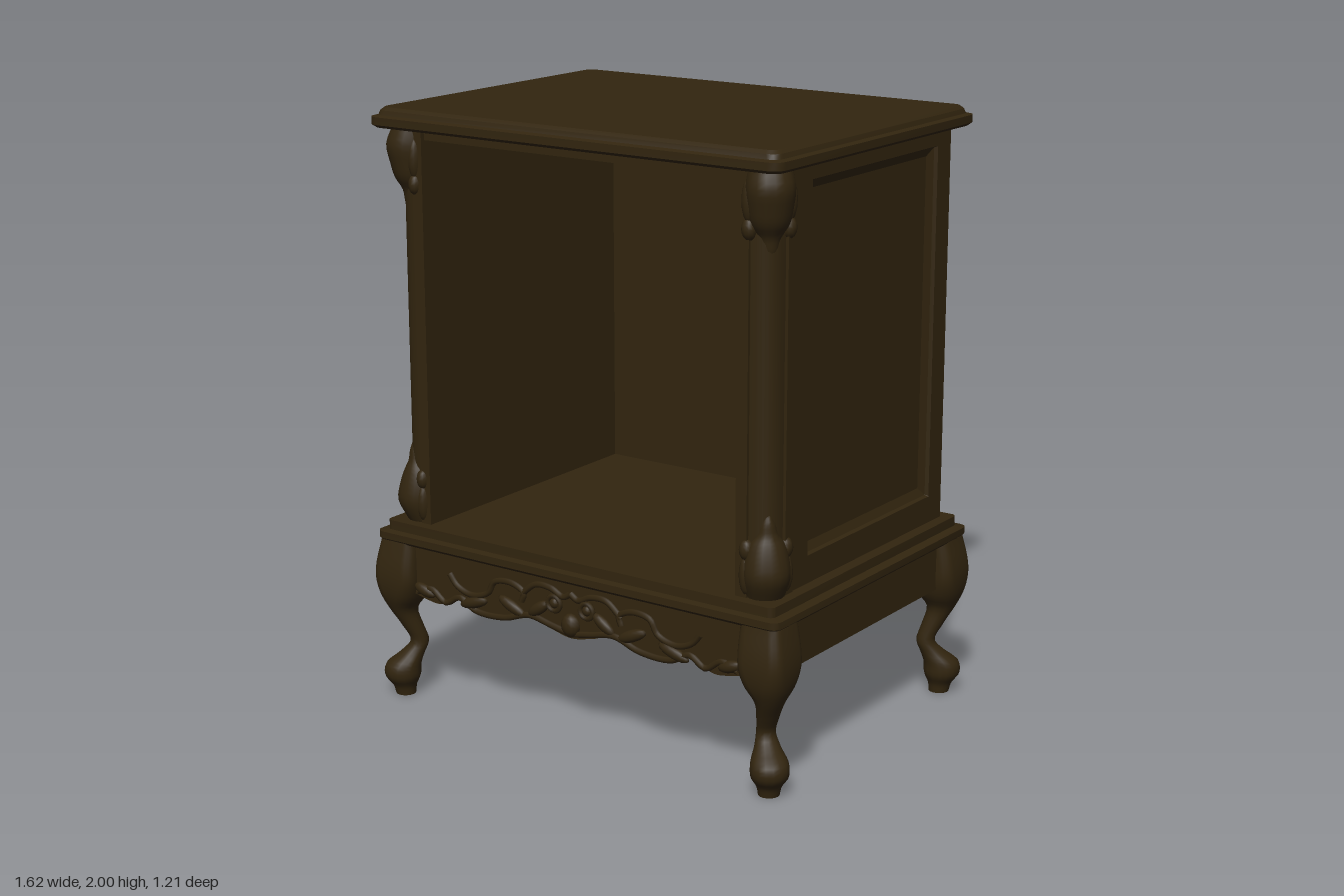
import * as THREE from 'three';
import { toCreasedNormals } from 'three/addons/utils/BufferGeometryUtils.js';

const wood = new THREE.MeshStandardMaterial({ color: 0x32250f });
wood.name = 'dark walnut';

// Horizontal rounded-rectangle ring; r = half size gives a circle
function ring(hx, hz, r, y, cx = 0, cz = 0, n = 5) {
  const pts = [];
  const corners = [[1, 1], [-1, 1], [-1, -1], [1, -1]];
  corners.forEach(([sx, sz], q) => {
    for (let i = 0; i <= n; i++) {
      const a = (q + i / n) * Math.PI / 2;
      pts.push([cx + sx * (hx - r) + r * Math.cos(a), y, cz + sz * (hz - r) + r * Math.sin(a)]);
    }
  });
  return pts;
}

// Skin a stack of rings, with optional caps
function loft(rings, crease = 0.6, bottom = true) {
  const n = rings[0].length, pos = rings.flat(2), idx = [];
  for (let j = 0; j < rings.length - 1; j++) {
    for (let i = 0; i < n; i++) {
      const a = j * n + i, b = j * n + (i + 1) % n;
      idx.push(a, a + n, b, b, a + n, b + n);
    }
  }
  const top = (rings.length - 1) * n;
  for (let i = 1; i < n - 1; i++) {
    idx.push(top, top + i + 1, top + i);
    if (bottom) idx.push(0, i, i + 1);
  }
  const g = new THREE.BufferGeometry();
  g.setAttribute('position', new THREE.Float32BufferAttribute(pos, 3));
  g.setIndex(idx);
  return toCreasedNormals(g, crease);
}

// Reflected copy with its winding corrected
function mirrored(geo, sx, sz) {
  const g = geo.index ? geo.toNonIndexed() : geo.clone();
  g.scale(sx, 1, sz);
  if (sx * sz < 0) {
    for (const name of ['position', 'normal']) {
      const a = g.attributes[name];
      for (let i = 0; i < a.count; i += 3) {
        const p = [a.getX(i + 1), a.getY(i + 1), a.getZ(i + 1)];
        a.setXYZ(i + 1, a.getX(i + 2), a.getY(i + 2), a.getZ(i + 2));
        a.setXYZ(i + 2, ...p);
      }
    }
  }
  return g;
}

// Rings along a smooth curve of [centre x, radius, y, squareness]; z follows x diagonally
function turned(points, samples, squareTop = 0) {
  const curve = new THREE.CatmullRomCurve3(points.map(p => new THREE.Vector3(...p)));
  const rings = [];
  for (let i = 0; i <= samples; i++) {
    const p = curve.getPoint(i / samples);
    const round = 1 - squareTop * THREE.MathUtils.smoothstep(p.z, 0.25, 0.45);
    rings.push(ring(p.y, p.y, p.y * round, p.z, p.x, p.x - 0.205, 4));
  }
  return loft(rings, 0.9);
}

export function createModel() {
  const model = new THREE.Group();
  const add = (name, geo) => {
    const m = new THREE.Mesh(geo, wood);
    m.name = name;
    model.add(m);
    return m;
  };
  // Box given by its limits
  const box = (name, x0, x1, y0, y1, z0, z1) => add(name,
    new THREE.BoxGeometry(x1 - x0, y1 - y0, z1 - z0)
      .translate((x0 + x1) / 2, (y0 + y1) / 2, (z0 + z1) / 2));

  // Moulded top and stepped base
  add('top', loft([
    ring(0.77, 0.575, 0.035, 1.935), ring(0.782, 0.588, 0.04, 1.945), ring(0.782, 0.588, 0.04, 1.97),
    ring(0.765, 0.57, 0.035, 1.975), ring(0.76, 0.565, 0.035, 1.99), ring(0.748, 0.553, 0.03, 2.0),
  ], 0.5));
  add('baseMoulding', loft([
    ring(0.785, 0.58, 0.03, 0.55), ring(0.795, 0.59, 0.03, 0.56), ring(0.795, 0.59, 0.03, 0.583),
    ring(0.765, 0.567, 0.02, 0.588), ring(0.765, 0.567, 0.02, 0.62),
  ], 0.5));

  // Cabinet shell
  box('backPanel', -0.67, 0.67, 0.62, 1.94, -0.512, -0.495);
  box('header', -0.605, 0.605, 1.9, 1.94, 0.49, 0.515);

  // Side frame with a bevelled sunken panel, modelled flat and turned upright
  const sideFrame = loft([
    ring(0.66, 0.45, 0.001, 0.725, -1.28, -0.05, 1),
    ring(0.585, 0.375, 0.001, 0.725, -1.295, -0.065, 1),
    ring(0.58, 0.37, 0.001, 0.713, -1.295, -0.065, 1),
    ring(0.553, 0.343, 0.001, 0.70, -1.295, -0.065, 1),
  ], 0.2, false).rotateZ(-Math.PI / 2);

  // Front corner post with a rounded outer corner between small fillets
  const postShape = new THREE.Shape();
  postShape.moveTo(0.605, 0.4);
  postShape.lineTo(0.73, 0.4);
  postShape.lineTo(0.73, 0.445);
  postShape.lineTo(0.72, 0.445);
  postShape.quadraticCurveTo(0.72, 0.52, 0.645, 0.52);
  postShape.lineTo(0.645, 0.53);
  postShape.lineTo(0.605, 0.53);
  const post = toCreasedNormals(new THREE.ExtrudeGeometry(postShape,
    { depth: 1.32, bevelEnabled: false, curveSegments: 8 }).rotateX(Math.PI / 2).translate(0, 1.94, 0), 0.6);

  // Carved leaf brackets at the head and foot of each post
  const headLeaf = turned([
    [0.688, 0.012, 1.655], [0.686, 0.026, 1.69], [0.684, 0.036, 1.73], [0.684, 0.06, 1.77],
    [0.687, 0.07, 1.82], [0.691, 0.075, 1.88], [0.682, 0.065, 1.94],
  ], 18);
  const footLeaf = turned([
    [0.676, 0.06, 0.62], [0.688, 0.074, 0.685], [0.686, 0.07, 0.74], [0.685, 0.055, 0.79],
    [0.69, 0.034, 0.82], [0.693, 0.024, 0.855], [0.696, 0.01, 0.885],
  ], 18);
  const lobe = (x, y, z, rx, ry, rz) => new THREE.SphereGeometry(1, 12, 8).scale(rx, ry, rz).translate(x, y, z);

  for (const s of [-1, 1]) {
    const side = s > 0 ? 'left' : 'right';
    add(side + 'SidePanel', mirrored(sideFrame, s, 1));
    box(side + 'InnerWall', Math.min(s * 0.605, s * 0.699), Math.max(s * 0.605, s * 0.699), 0.62, 1.94, -0.5, 0.4);
    box(side + 'BackStile', Math.min(s * 0.665, s * 0.725), Math.max(s * 0.665, s * 0.725), 0.62, 1.94, -0.522, -0.495);
    add(side + 'FrontPost', mirrored(post, s, 1));
    add(side + 'HeadLeaf', mirrored(headLeaf, s, 1));
    add(side + 'FootLeaf', mirrored(footLeaf, s, 1));
    // side lobes of the leaves, on the front and on the flank
    for (const [y, ry] of [[1.84, 0.07], [1.755, 0.035], [0.69, 0.065], [0.77, 0.035]]) {
      add(side + 'LeafLobe', mirrored(lobe(0.64, y, 0.52, 0.024, ry, 0.025), s, 1));
      add(side + 'LeafLobe', mirrored(lobe(0.72, y, 0.43, 0.025, ry, 0.024), s, 1));
    }
    // plain side apron
    box(side + 'Apron', Math.min(s * 0.735, s * 0.76), Math.max(s * 0.735, s * 0.76), 0.39, 0.55, -0.5, 0.5);
  }
  box('backApron', -0.7, 0.7, 0.39, 0.55, -0.555, -0.53);

  // Cabriole legs with a square knee and a ball foot
  const leg = turned([
    [0.735, 0.034, 0], [0.737, 0.04, 0.03], [0.741, 0.06, 0.065], [0.739, 0.06, 0.105], [0.717, 0.042, 0.145],
    [0.699, 0.031, 0.185], [0.716, 0.036, 0.245], [0.735, 0.046, 0.305], [0.732, 0.07, 0.355],
    [0.729, 0.081, 0.41], [0.727, 0.08, 0.47], [0.72, 0.071, 0.555],
  ], 36, 0.55);
  for (const sx of [-1, 1]) for (const sz of [-1, 1]) {
    add((sz > 0 ? 'front' : 'back') + (sx > 0 ? 'Left' : 'Right') + 'Leg', mirrored(leg, sx, sz));
  }

  // Front apron with a scalloped lower edge
  const edge = [[0.68, 0.385], [0.6, 0.367], [0.54, 0.365], [0.47, 0.4], [0.39, 0.362], [0.27, 0.366],
    [0.16, 0.395], [0.08, 0.375], [0, 0.36]];
  const full = [...edge, ...edge.slice(0, -1).reverse().map(([x, y]) => [-x, y])];
  const apron = new THREE.Shape();
  apron.moveTo(-0.68, 0.55);
  apron.lineTo(0.68, 0.55);
  apron.lineTo(...edge[0]);
  apron.splineThru(full.slice(1).map(p => new THREE.Vector2(...p)));
  add('frontApron', toCreasedNormals(new THREE.ExtrudeGeometry(apron,
    { depth: 0.025, bevelEnabled: false, curveSegments: 60 }).translate(0, 0, 0.535), 0.5));

  // Applied carving: scrolled vines, rosettes and leaves
  const vines = [
    [[0.64, 0.39], [0.58, 0.41], [0.52, 0.375], [0.46, 0.405], [0.39, 0.373], [0.27, 0.375], [0.17, 0.405], [0.08, 0.39], [0, 0.375]],
    [[0.5, 0.48], [0.47, 0.445], [0.41, 0.425], [0.34, 0.445], [0.31, 0.49], [0.24, 0.5], [0.19, 0.475], [0.2, 0.445]],
    [[0.2, 0.47], [0.14, 0.515], [0.08, 0.515], [0.03, 0.495], [0, 0.51]],
  ];
  for (const s of [-1, 1]) {
    for (const v of vines) {
      const curve = new THREE.CatmullRomCurve3(v.map(([x, y]) => new THREE.Vector3(s * x, y, 0.562)));
      add('carvedVine', new THREE.TubeGeometry(curve, 40, 0.011, 6));
    }
    add('rosetteRing', new THREE.TorusGeometry(0.025, 0.009, 6, 20).translate(s * 0.065, 0.467, 0.566));
    add('rosetteBoss', lobe(s * 0.065, 0.467, 0.562, 0.018, 0.018, 0.015));
    for (const [x, y, tilt, len] of [[0.61, 0.4, 0.3, 0.045], [0.4, 0.4, -0.3, 0.06], [0.24, 0.42, 0.4, 0.06], [0.13, 0.435, -0.6, 0.05]]) {
      const m = add('carvedLeaf', new THREE.SphereGeometry(1, 14, 8).scale(len, 0.02, 0.018).rotateZ(s * tilt));
      m.position.set(s * x, y, 0.562);
    }
  }
  add('carvedShell', lobe(0, 0.405, 0.562, 0.035, 0.04, 0.028));

  return model;
}
